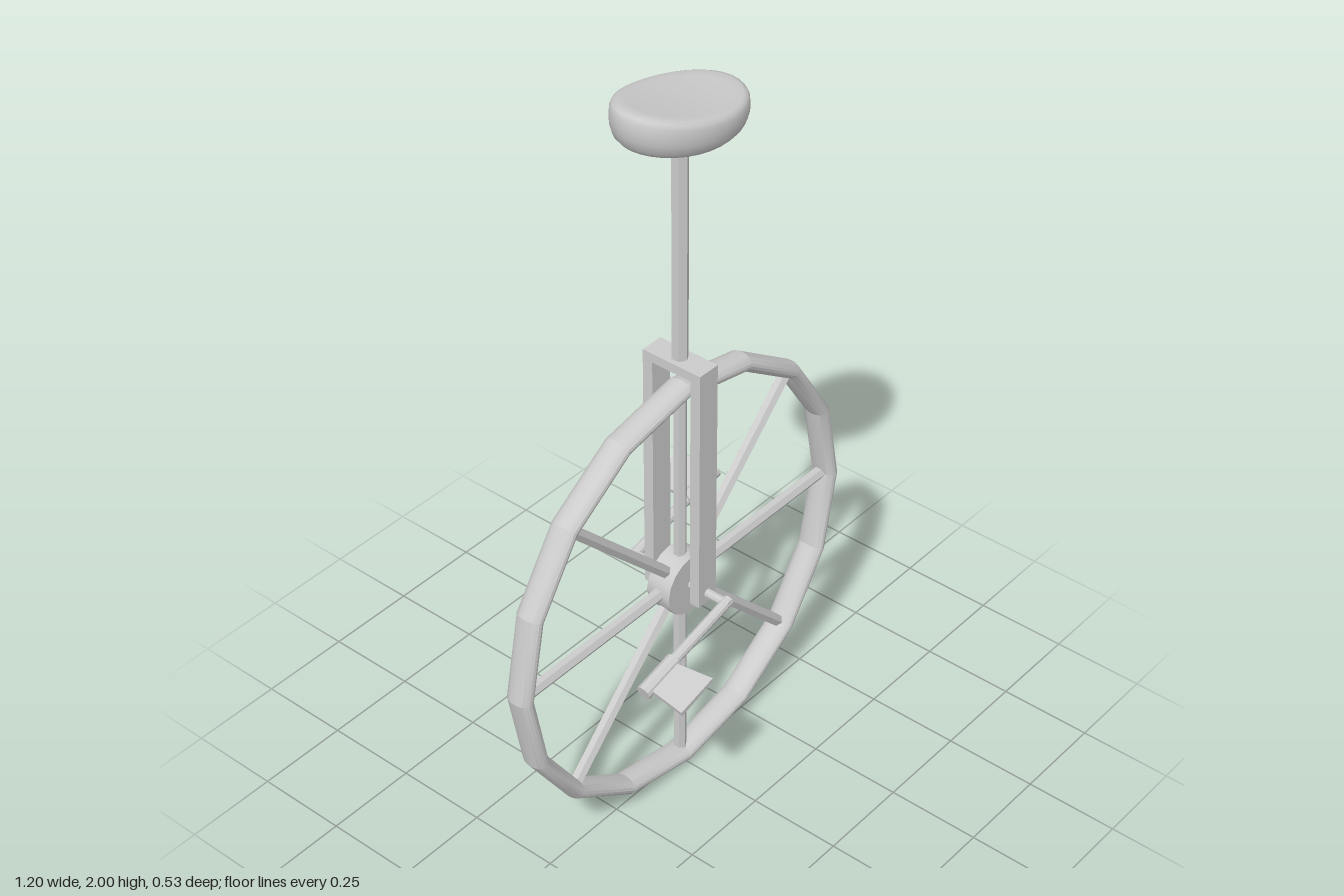
import * as THREE from 'three';
import { toCreasedNormals } from 'three/addons/utils/BufferGeometryUtils.js';

const HUB_Y = 0.604;
const material = new THREE.MeshStandardMaterial({ color: 0xcccccc });

function add(parent, name, geometry, crease = 0.6) {
  const mesh = new THREE.Mesh(toCreasedNormals(geometry, crease), material);
  mesh.name = name;
  parent.add(mesh);
  return mesh;
}

// Straight rod between two points
function rod(parent, name, from, to, radius, sides) {
  const a = new THREE.Vector3(...from), b = new THREE.Vector3(...to);
  const dir = b.clone().sub(a);
  const mesh = add(parent, name, new THREE.CylinderGeometry(radius, radius, dir.length(), sides));
  mesh.position.copy(a).add(b).multiplyScalar(0.5);
  mesh.quaternion.setFromUnitVectors(new THREE.Vector3(0, 1, 0), dir.normalize());
  return mesh;
}

function createWheel() {
  const wheel = new THREE.Group();
  wheel.name = 'wheel';
  // Sixteen-sided tyre, wider than it is deep
  const tyre = new THREE.TorusGeometry(0.579, 0.023, 20, 16);
  tyre.scale(1, 1, 1.62);
  add(wheel, 'tyre', tyre, 0.35);
  add(wheel, 'hub', new THREE.CylinderGeometry(0.084, 0.084, 0.07, 16).rotateX(Math.PI / 2));
  for (let i = 0; i < 8; i++) {
    const a = (i * Math.PI) / 4, c = Math.cos(a), s = Math.sin(a);
    rod(wheel, 'spoke', [0.06 * c, 0.06 * s, 0], [0.57 * c, 0.57 * s, 0], 0.017, 6);
  }
  wheel.position.y = HUB_Y;
  return wheel;
}

// One crank with its pedal; s = 1 is the front side, s = -1 the back side
function createCrank(s) {
  const crank = new THREE.Group();
  crank.name = s > 0 ? 'frontCrank' : 'backCrank';
  const z = 0.146 * s;
  rod(crank, 'axle', [0, 0, 0.03 * s], [0, 0, 0.158 * s], 0.012, 10);
  rod(crank, 'crankArm', [0.012 * s, 0, z], [-0.21 * s, 0, z], 0.014, 10);
  rod(crank, 'pedalSleeve', [-0.203 * s, 0, z], [-0.32 * s, 0, z], 0.02, 10);
  // Pedal plate flares outwards
  const plate = new THREE.Shape([
    new THREE.Vector2(-0.047, 0), new THREE.Vector2(0.047, 0),
    new THREE.Vector2(0.06, 0.107), new THREE.Vector2(-0.06, 0.107),
  ]);
  const geometry = new THREE.ExtrudeGeometry(plate, { depth: 0.012, bevelEnabled: false });
  geometry.translate(0, 0, -0.006).rotateX((s * Math.PI) / 2);
  add(crank, 'pedal', geometry).position.set(-0.258 * s, 0, 0.157 * s);
  crank.rotation.z = 0.26;
  crank.position.y = HUB_Y;
  return crank;
}

function createFork() {
  // Inverted U, drawn across the wheel and extruded along it
  const outline = [[-0.087, 0.575], [-0.058, 0.575], [-0.058, 1.245], [0.058, 1.245],
    [0.058, 0.575], [0.087, 0.575], [0.087, 1.27], [-0.087, 1.27]];
  const shape = new THREE.Shape(outline.map(([x, y]) => new THREE.Vector2(x, y)));
  const geometry = new THREE.ExtrudeGeometry(shape, { depth: 0.064, bevelEnabled: false });
  return geometry.translate(0, 0, -0.032).rotateY(Math.PI / 2);
}

function createSaddle() {
  // Rounded oval cushion, then bent between a lower and an upper curve
  const profile = [[0, 0], [0.4, 0], [0.75, 0], [0.88, 0.03], [0.95, 0.16], [0.99, 0.38], [1, 0.58],
    [0.99, 0.8], [0.96, 0.93], [0.9, 0.99], [0.75, 1], [0.5, 1], [0.25, 1], [0, 1]];
  const geometry = new THREE.LatheGeometry(profile.map(([r, y]) => new THREE.Vector2(r, y)), 32);
  const p = geometry.attributes.position;
  for (let i = 0; i < p.count; i++) {
    const t = p.getX(i);
    const low = 1.879 - 0.011 * t + 0.01 * t * t;
    const high = 1.96 - 0.03 * t + 0.014 * t * t;
    p.setXYZ(i, 0.184 * t, THREE.MathUtils.lerp(low, high, p.getY(i)), 0.131 * p.getZ(i));
  }
  return geometry;
}

export function createModel() {
  const model = new THREE.Group();
  model.name = 'unicycle';
  model.add(createWheel(), createCrank(1), createCrank(-1));
  add(model, 'fork', createFork());
  rod(model, 'seatPost', [0, 1.26, 0], [0, 1.9, 0], 0.021, 6);
  add(model, 'saddle', createSaddle(), 0.9);
  return model;
}
